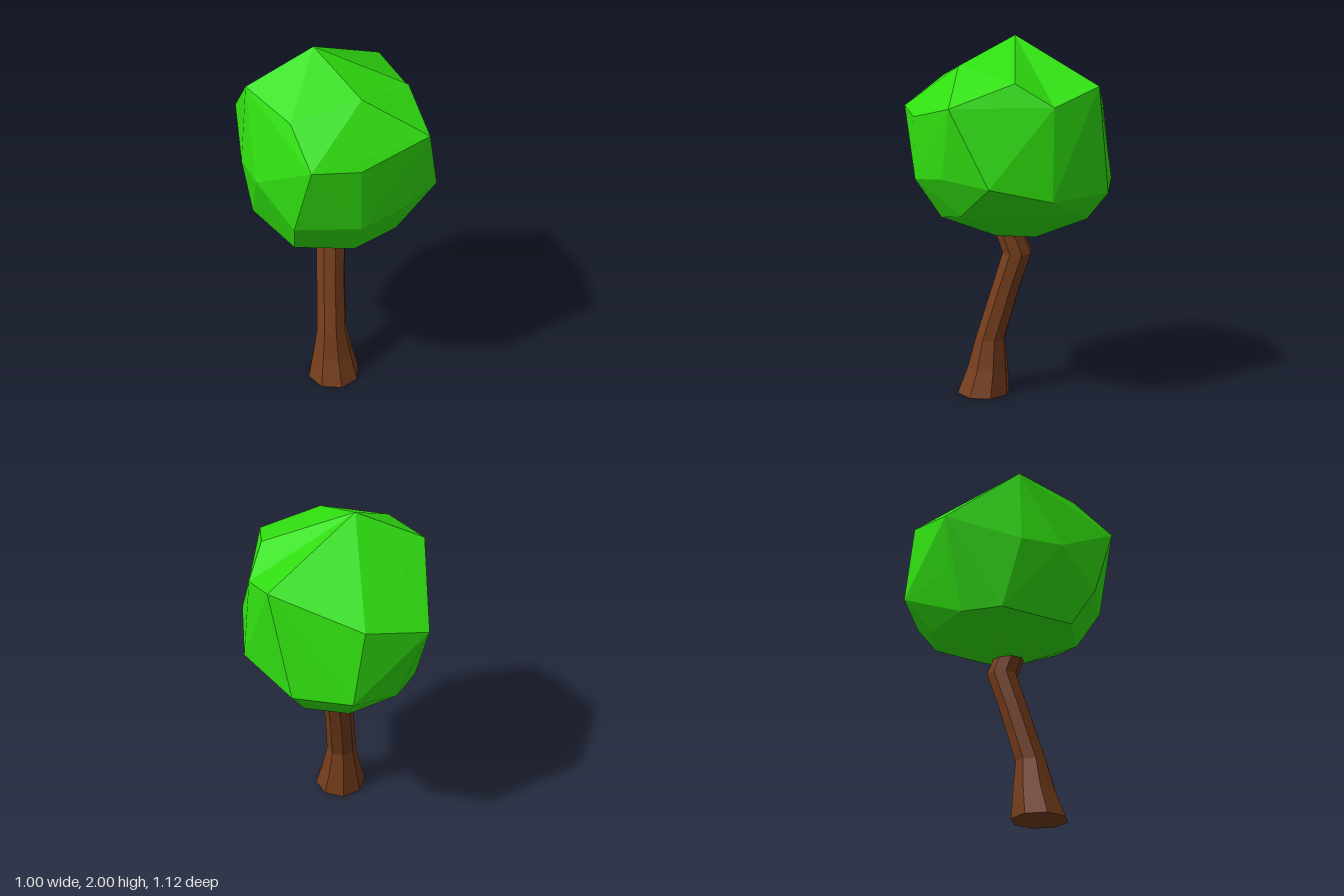
import * as THREE from 'three';
import { ConvexGeometry } from 'three/addons/geometries/ConvexGeometry.js';

// Trunk cross-sections: centre x, height, centre z, radius
const trunkSections = [
  [-0.055, 0, 0.18, 0.152],
  [-0.055, 0.15, 0.155, 0.117],
  [-0.055, 0.31, 0.14, 0.087],
  [-0.032, 0.62, 0.05, 0.083],
  [-0.012, 0.81, -0.008, 0.086],
  [-0.035, 0.94, 0.035, 0.083],
];

// Crown corners, from top to bottom
const crownCorners = [
  // peak and shoulder
  [-0.1, 2, -0.02], [-0.46, 1.83, -0.02], [-0.325, 1.775, 0.33], [0.04, 1.85, 0.33],
  [0.37, 1.78, 0.115], [0.37, 1.755, -0.34], [-0.09, 1.615, -0.53], [-0.43, 1.52, -0.42],
  // upper sides
  [-0.29, 1.615, 0.56], [-0.035, 1.58, 0.56], [0.36, 1.66, 0.46],
  [-0.5, 1.4, -0.02], [-0.48, 1.4, 0.21],
  // lower sides
  [-0.345, 1.22, 0.43], [-0.03, 1.245, 0.56], [0.255, 1.285, 0.475], [0.485, 1.26, 0.285],
  [0.495, 1.18, -0.05], [0.27, 1.17, -0.435], [-0.03, 1.2, -0.565], [-0.33, 1.25, -0.38],
  // underside
  [-0.31, 1.02, 0.3], [-0.02, 1.03, 0.42], [0.23, 1.08, 0.37], [0.36, 1.08, -0.03],
  [0.2, 1.02, -0.34], [-0.03, 1.02, -0.41], [-0.3, 1.03, -0.3], [-0.43, 1.02, -0.11],
  // bottom rim
  [-0.16, 0.89, 0], [-0.1, 0.9, 0.12], [0.03, 0.92, 0.13], [0.1, 0.92, 0],
  [0.04, 0.9, -0.1], [-0.1, 0.885, -0.11],
];

function makeTrunk() {
  const rows = trunkSections.length - 1;
  const geometry = new THREE.CylinderGeometry(1, 1, 1, 8, rows);
  const pos = geometry.attributes.position;
  // Fit each row of the cylinder to its section
  for (let i = 0; i < pos.count; i++) {
    const [cx, y, cz, r] = trunkSections[Math.round((pos.getY(i) + 0.5) * rows)];
    pos.setXYZ(i, cx + pos.getX(i) * r, y, cz + pos.getZ(i) * r);
  }
  geometry.computeVertexNormals();
  const mesh = new THREE.Mesh(geometry, new THREE.MeshStandardMaterial({ color: 0x743c1b, flatShading: true }));
  mesh.name = 'trunk';
  return mesh;
}

function makeCrown() {
  // One shoulder corner joins the hull raised, then sinks to form a dent
  const raised = new THREE.Vector3(0.48, 1.74, -0.07);
  const dent = new THREE.Vector3(0.45, 1.66, -0.07);
  const points = crownCorners.map((p) => new THREE.Vector3(...p));
  const geometry = new ConvexGeometry([...points, raised]);
  const pos = geometry.attributes.position;
  const v = new THREE.Vector3();
  for (let i = 0; i < pos.count; i++) {
    v.fromBufferAttribute(pos, i);
    if (v.distanceTo(raised) < 0.001) pos.setXYZ(i, dent.x, dent.y, dent.z);
  }
  geometry.computeVertexNormals();
  const mesh = new THREE.Mesh(geometry, new THREE.MeshStandardMaterial({ color: 0x30e010, flatShading: true }));
  mesh.name = 'crown';
  return mesh;
}

export function createModel() {
  const tree = new THREE.Group();
  tree.name = 'tree';
  tree.add(makeTrunk(), makeCrown());
  return tree;
}
